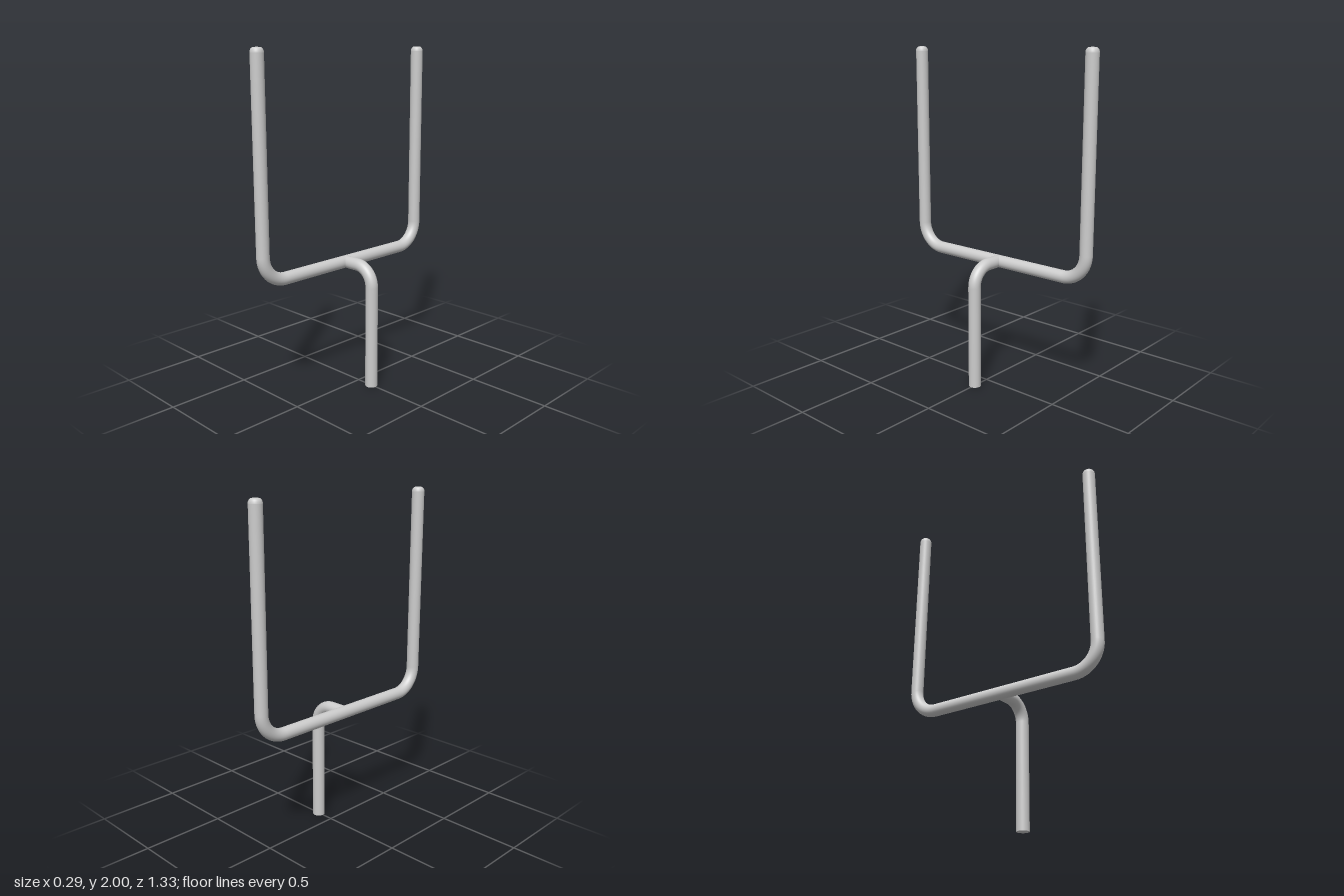
import * as THREE from 'three';
import { mergeGeometries } from 'three/addons/utils/BufferGeometryUtils.js';

const R = 0.037, SIDES = 32;
const V = (x, y, z) => new THREE.Vector3(x, y, z);

// Pipe through corner points, each inner corner rounded to a quarter circle
function pipe(points, bend) {
  const parts = [];
  const add = (curve, steps) => parts.push(new THREE.TubeGeometry(curve, steps, R, SIDES));
  let start = points[0];
  for (let i = 1; i < points.length - 1; i++) {
    const corner = points[i];
    const a = corner.clone().add(points[i - 1].clone().sub(corner).setLength(bend));
    const b = corner.clone().add(points[i + 1].clone().sub(corner).setLength(bend));
    add(new THREE.LineCurve3(start, a), 1);
    add(new THREE.CubicBezierCurve3(a, a.clone().lerp(corner, 0.5523), b.clone().lerp(corner, 0.5523), b), 14);
    start = b;
  }
  add(new THREE.LineCurve3(start, points[points.length - 1]), 1);
  return mergeGeometries(parts);
}

export function createModel() {
  const group = new THREE.Group();
  const material = new THREE.MeshStandardMaterial({ color: 0xcccccc });
  const add = (name, geometry) => {
    const mesh = new THREE.Mesh(geometry, material);
    mesh.name = name;
    group.add(mesh);
    return mesh;
  };

  const forkX = -0.11, postX = 0.107, barY = 0.737, halfSpan = 0.627, capY = 1.972;

  // U-shaped fork: crossbar with two uprights
  add('crossbarAndUprights', pipe([
    V(forkX, capY, halfSpan), V(forkX, barY, halfSpan),
    V(forkX, barY, -halfSpan), V(forkX, capY, -halfSpan),
  ], 0.15));

  // Rounded tops of the uprights
  const profile = [[R, 0], [0.036, 0.009], [0.032, 0.018], [0.025, 0.025], [0.015, 0.0275], [0, 0.028]]
    .map(([r, y]) => new THREE.Vector2(r, y));
  for (const side of [1, -1]) {
    add(side > 0 ? 'frontUprightCap' : 'backUprightCap', new THREE.LatheGeometry(profile, SIDES))
      .position.set(forkX, capY, side * halfSpan);
  }

  // Gooseneck support post joining the middle of the crossbar
  add('gooseneckPost', pipe([V(postX, 0, 0), V(postX, barY, 0), V(forkX, barY, 0)], 0.115));

  // Flat underside of the post
  add('postBase', new THREE.CircleGeometry(R, SIDES).rotateX(Math.PI / 2)).position.x = postX;

  return group;
}
